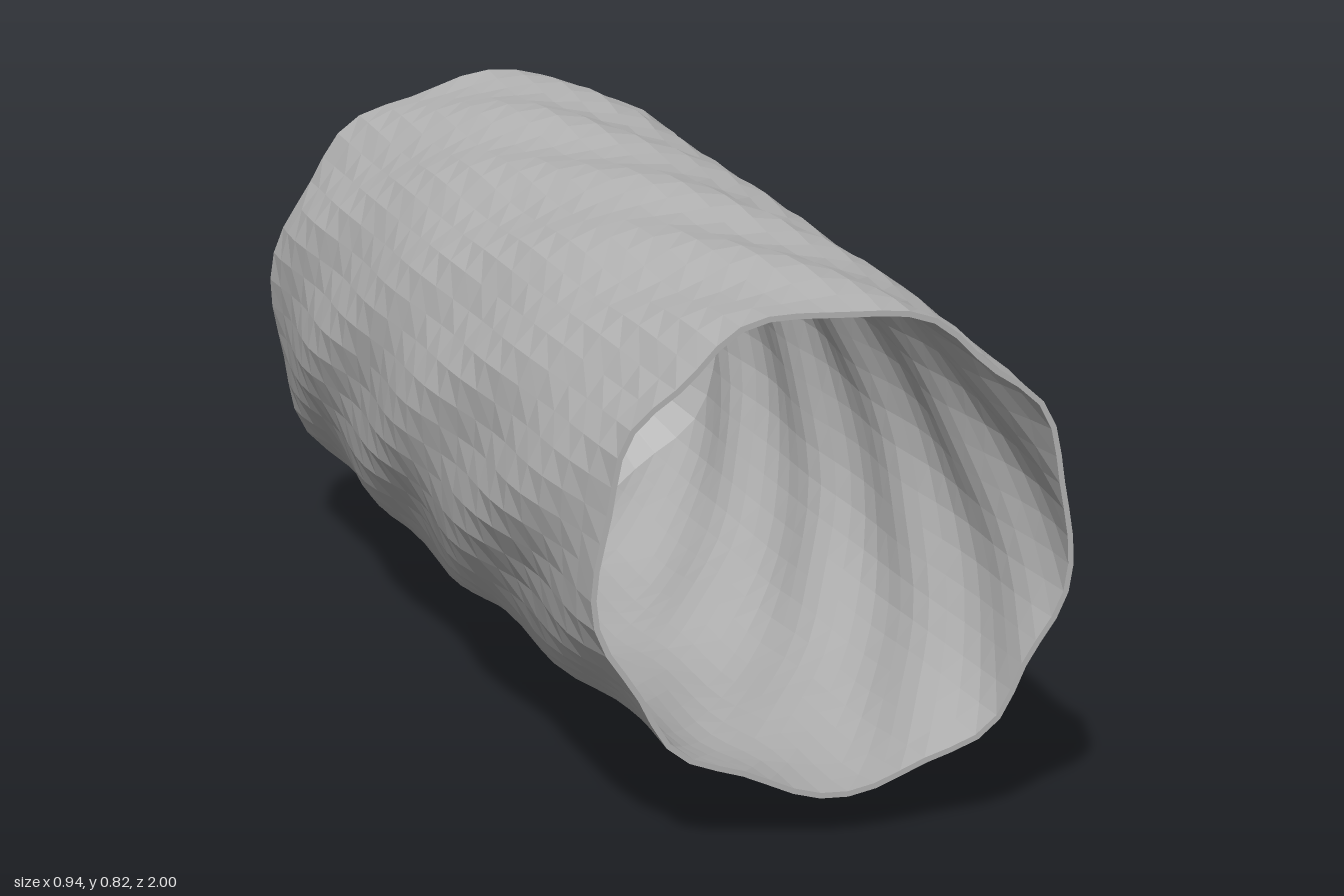
import * as THREE from 'three';

const SEGMENTS = 54, RINGS = 26, WALL = 0.008;

// Gentle spiral lumps: t runs from the open front (0) to the shoulder (1)
function lump(a, t) {
  const spiral = Math.cos(9 * (a - Math.PI / 2) + 7 * Math.PI * (1 - t));
  const uneven = Math.sin(4 * a + 17 * t) * 0.3 + Math.sin(13 * a - 9 * t) * 0.2;
  return spiral + uneven;
}

// One tilted, lumpy ring of points
function ring({ x, y, z, r, tilt, t, amp }, inset = 0) {
  const points = [];
  for (let i = 0; i <= SEGMENTS; i++) {
    const a = ((i % SEGMENTS) / SEGMENTS) * Math.PI * 2;
    const rad = r - inset + amp * lump(a, t);
    const c = rad * Math.cos(a);
    points.push([x + c, y + rad * Math.sin(a), z + c * tilt]);
  }
  return points;
}

// Skin through successive rings; the order of the rings sets the facing side
function skin(name, rings, material) {
  const positions = [], index = [];
  const row = SEGMENTS + 1;
  rings.forEach((points) => points.forEach((p) => positions.push(...p)));
  for (let j = 0; j < rings.length - 1; j++) {
    for (let i = 0; i < SEGMENTS; i++) {
      const a = j * row + i, b = a + 1, c = a + row, d = c + 1;
      index.push(a, c, b, b, c, d);
    }
  }
  const geometry = new THREE.BufferGeometry();
  geometry.setAttribute('position', new THREE.Float32BufferAttribute(positions, 3));
  geometry.setIndex(index);
  geometry.computeVertexNormals();
  const mesh = new THREE.Mesh(geometry, material);
  mesh.name = name;
  return mesh;
}

export function createModel() {
  const group = new THREE.Group();
  group.name = 'lumpyTube';
  const grey = new THREE.MeshStandardMaterial({ color: 0xb2b2b2, flatShading: true, side: THREE.DoubleSide });
  grey.name = 'grey';

  // Slightly bent, widening body, listed front to back
  const stations = [];
  for (let j = 0; j <= RINGS; j++) {
    const t = j / RINGS;
    stations.push({
      x: 0.125 - 0.1875 * t - 0.012 * Math.sin(Math.PI * t),
      y: 0.415 + 0.003 * t,
      z: 0.965 - 1.74 * t,
      r: 0.343 + 0.063 * t + 0.008 * Math.sin(Math.PI * t),
      tilt: -0.1 + 0.16 * t,
      t,
      amp: 0.008,
    });
  }
  const shoulder = stations[RINGS];
  const tip = { x: -0.035, y: 0.418, z: -0.984, r: 0.149, tilt: 0.1, t: 1, amp: 0.004 };

  const outer = stations.map((s) => ring(s));
  const inner = stations.map((s) => ring(s, WALL));
  const tipOuter = ring(tip), tipInner = ring(tip, WALL * 0.5);
  const shoulderInner = ring(shoulder, WALL);

  group.add(
    skin('tubeOuterWall', outer, grey),
    skin('tubeInnerWall', [...inner].reverse(), grey),
    skin('frontRim', [inner[0], outer[0]], grey),
    // Tapered back end with a round hole
    skin('coneOuterWall', [outer[RINGS], tipOuter], grey),
    skin('coneInnerWall', [tipInner, shoulderInner], grey),
    skin('holeRim', [tipOuter, tipInner], grey),
  );
  return group;
}
